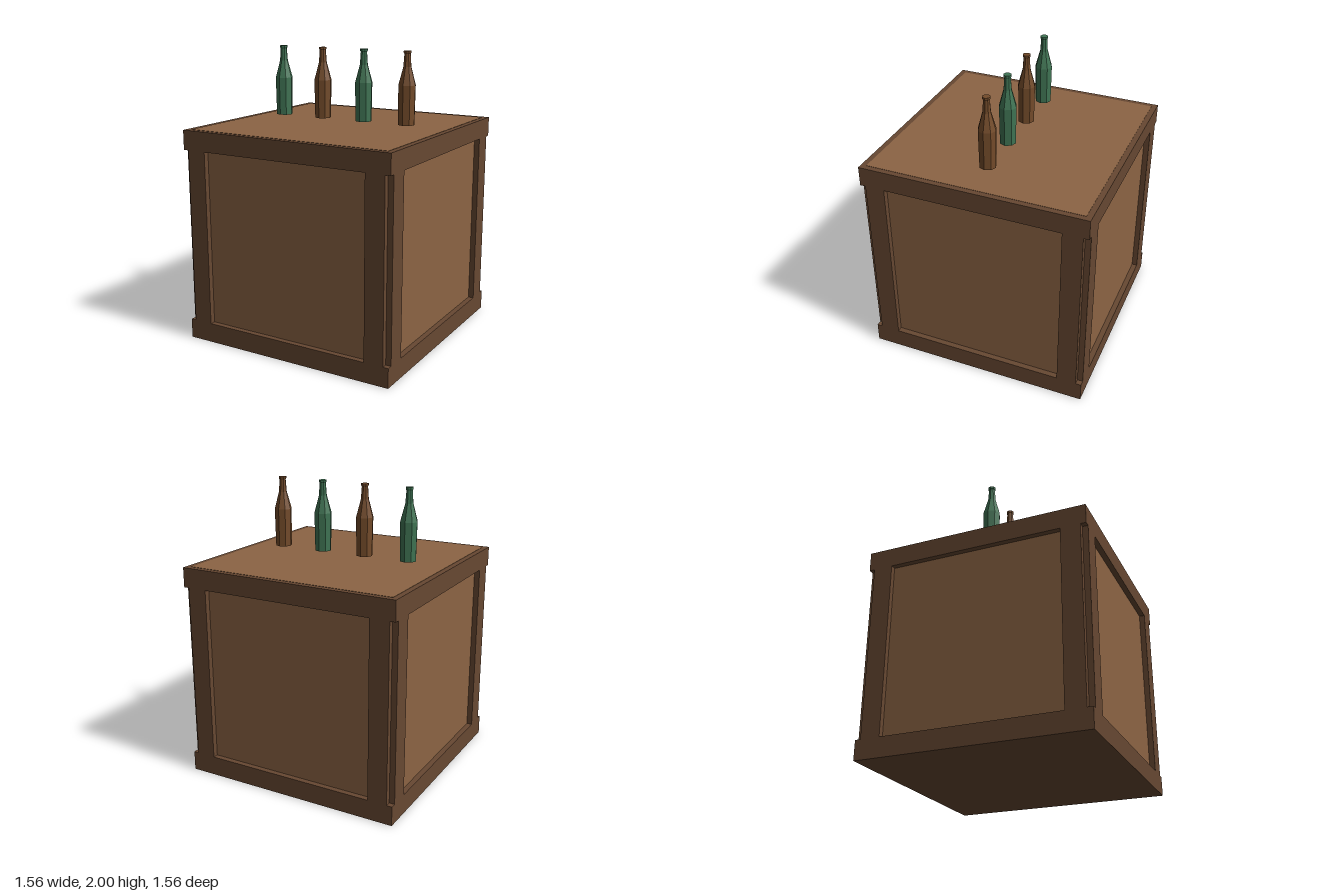
import * as THREE from 'three';

const material = (color, flatShading = false) => new THREE.MeshStandardMaterial({ color, flatShading });

export function createModel() {
  const model = new THREE.Group();
  const panelWood = material(0x8c6444);
  const frameWood = material(0x674832);
  const glass = [material(0x3f7353, true), material(0x734b2a, true)];

  const box = (name, w, h, d, x, y, z, mat, parent) => {
    const mesh = new THREE.Mesh(new THREE.BoxGeometry(w, h, d), mat);
    mesh.name = name;
    mesh.position.set(x, y, z);
    parent.add(mesh);
  };

  // Crate: a lighter core wrapped by darker base and top bands
  const crate = new THREE.Group();
  crate.name = 'crate';
  model.add(crate);
  box('core', 1.48, 1.48, 1.48, 0, 0.742, 0, panelWood, crate);
  box('baseBand', 1.556, 0.135, 1.556, 0, 0.0675, 0, frameWood, crate);
  box('topBand', 1.556, 0.135, 1.556, 0, 1.4125, 0, frameWood, crate);

  // Two stiles on each side, leaving a notch at every corner
  for (let i = 0; i < 4; i++) {
    const side = new THREE.Group();
    side.name = 'sideFrame';
    side.rotation.y = i * Math.PI / 2;
    for (const s of [-1, 1]) {
      box('stile', 0.135, 1.21, 0.038, s * 0.6725, 0.74, 0.759, frameWood, side);
    }
    crate.add(side);
  }

  // Row of eight-sided bottles hovering just over the top
  const profile = [
    [0, 0], [0.057, 0], [0.061, 0.265], [0.028, 0.385],
    [0.022, 0.47], [0.027, 0.478], [0.027, 0.49], [0, 0.49],
  ].map(([r, y]) => new THREE.Vector2(r, y));
  const bottleShape = new THREE.LatheGeometry(profile, 8);
  [-0.49, -0.163, 0.163, 0.49].forEach((x, i) => {
    const bottle = new THREE.Mesh(bottleShape, glass[i % 2]);
    bottle.name = 'bottle';
    bottle.position.set(x, 1.51, 0);
    model.add(bottle);
  });

  return model;
}
